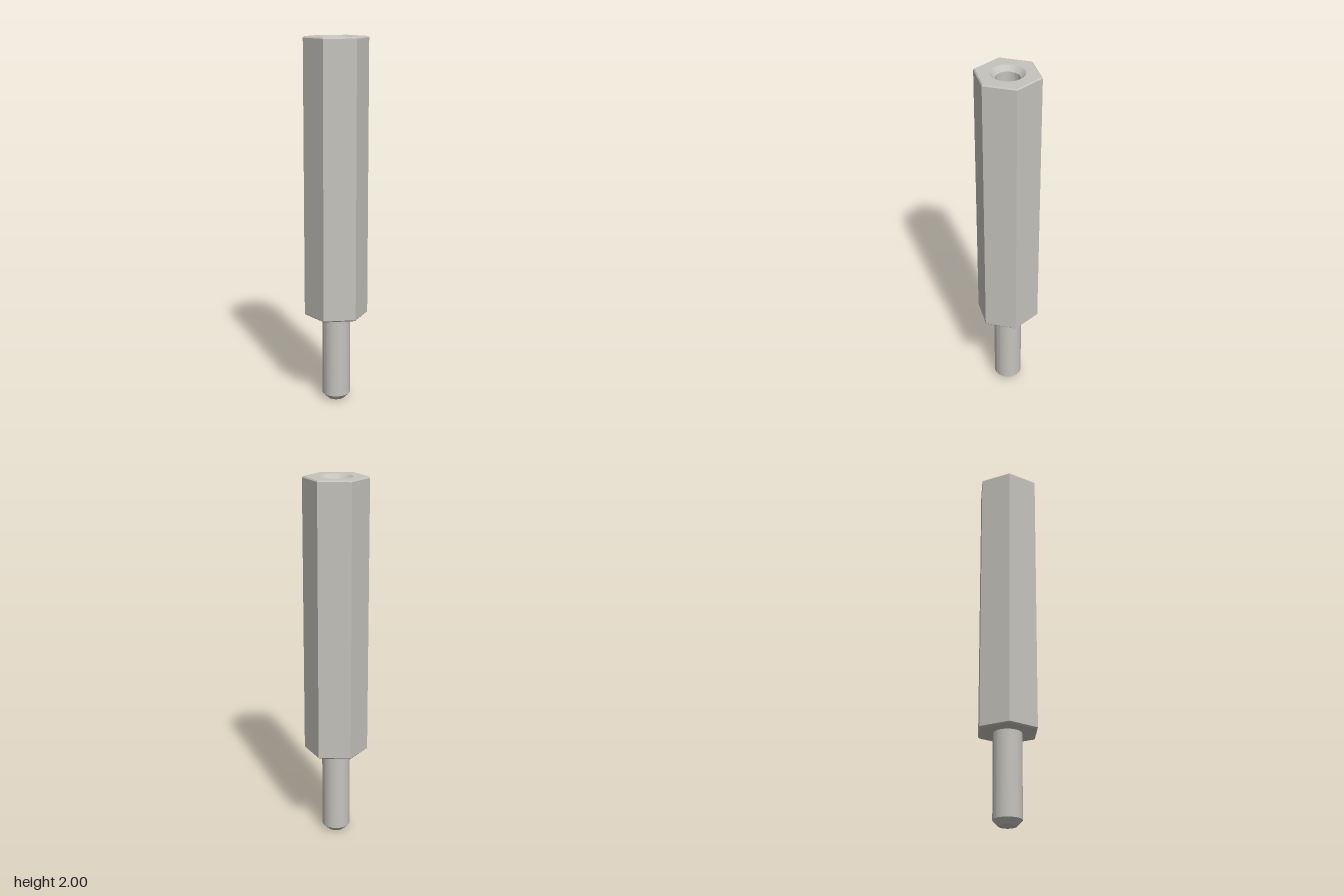
import * as THREE from 'three';
import { toCreasedNormals } from 'three/addons/utils/BufferGeometryUtils.js';

const HEX = 0.174;     // hexagon corner radius
const EDGE = 0.007;    // small bevel on the hexagon ends
const BASE = 0.49;     // underside of the hexagonal body
const TOP = 2;
const STUD = 0.077;
const SINK = 0.088;    // countersink mouth radius
const BORE = 0.062;

// Revolved profile with sharp creases; 6 segments gives a hexagonal prism
function turned(profile, segments) {
  const points = profile.map(([r, y]) => new THREE.Vector2(r, y));
  return toCreasedNormals(new THREE.LatheGeometry(points, segments, Math.PI / 2), 0.5);
}

export function createModel() {
  const group = new THREE.Group();
  const steel = new THREE.MeshStandardMaterial({ color: 0xc5c3bd });
  steel.name = 'satin steel';

  const add = (name, geometry) => {
    const mesh = new THREE.Mesh(geometry, steel);
    mesh.name = name;
    group.add(mesh);
    return mesh;
  };

  // Hexagonal body with bevelled ends, corners on the x axis
  add('hexBody', turned([
    [0, BASE], [HEX - EDGE, BASE], [HEX, BASE + EDGE],
    [HEX, TOP - EDGE], [HEX - EDGE, TOP],
  ], 6));

  // Top face with a round opening
  const corners = Array.from({ length: 6 }, (_, i) => new THREE.Vector2(
    (HEX - EDGE) * Math.cos(i * Math.PI / 3), (HEX - EDGE) * Math.sin(i * Math.PI / 3)));
  const face = new THREE.Shape(corners);
  face.holes.push(new THREE.Path().absarc(0, 0, SINK, 0, Math.PI * 2, true));
  const topFace = new THREE.ShapeGeometry(face, 32);
  topFace.rotateX(-Math.PI / 2);
  add('topFace', topFace).position.y = TOP;

  // Countersunk blind bore, facing inward
  const sinkY = TOP - (SINK - BORE);
  add('bore', turned([[SINK, TOP], [BORE, sinkY], [BORE, TOP - 0.5], [0, TOP - 0.5]], 64));

  // Round stud with a chamfered tip
  add('stud', turned([[0, 0], [0.047, 0], [STUD, 0.03], [STUD, BASE]], 64));

  return group;
}
